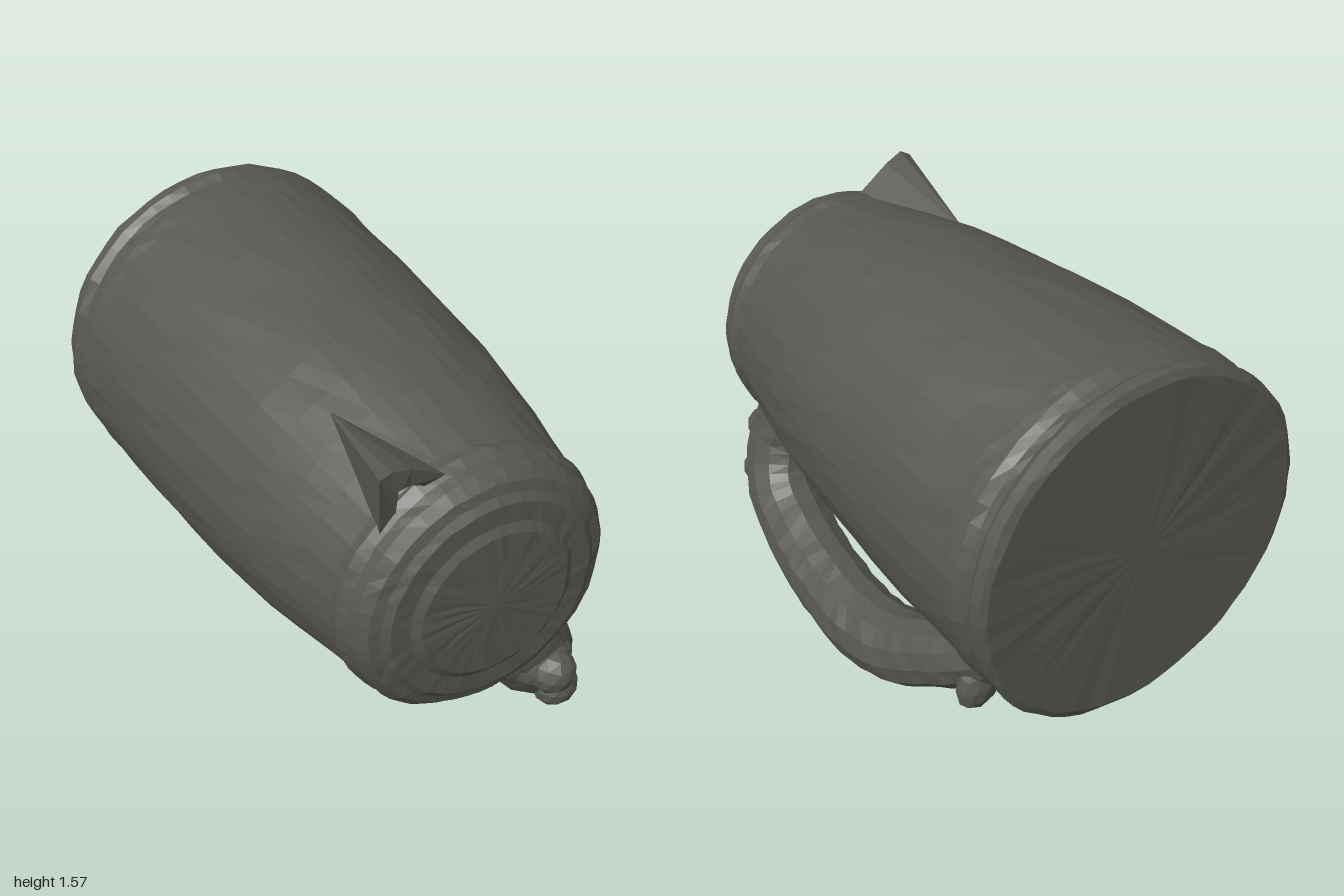
import * as THREE from 'three';

const CY = 0.937; // height of the tankard's long axis

// Repeatable roughness from a position, so coincident vertices stay together
function noise(x, y, z) {
  const q = (v) => Math.round(v * 500);
  const n = Math.sin(q(x) * 12.9898 + q(y) * 78.233 + q(z) * 37.719) * 43758.5453;
  return (n - Math.floor(n)) * 2 - 1;
}

function roughen(geo, amount, cx = 0, cy = CY) {
  const p = geo.attributes.position;
  for (let i = 0; i < p.count; i++) {
    const x = p.getX(i), y = p.getY(i), z = p.getZ(i);
    const k = 1 + noise(x, y, z) * amount;
    p.setXYZ(i, cx + (x - cx) * k, cy + (y - cy) * k, z + noise(z, x, y) * amount * 0.3);
  }
  geo.computeVertexNormals();
  return geo;
}

// Point in the handle's plane: s is the distance out from the axis
const handlePoint = (s, z) => new THREE.Vector3(0.08 + 0.417 * s, 0.94 - 0.91 * s, z);

export function createModel() {
  const group = new THREE.Group();
  const pewter = new THREE.MeshStandardMaterial({ color: 0x585853, flatShading: true });
  pewter.name = 'dark pewter';
  const stain = new THREE.MeshStandardMaterial({ color: 0x4a3a1e, flatShading: true, side: THREE.DoubleSide });
  stain.name = 'brown stain';

  const add = (name, geo, mat = pewter) => {
    const mesh = new THREE.Mesh(geo, mat);
    mesh.name = name;
    group.add(mesh);
    return mesh;
  };

  // Body lying on its side, base at -z and closed top at +z
  const profile = [
    [0, -0.992], [0.3, -0.992], [0.61, -0.995], [0.635, -0.98], [0.637, -0.94], [0.617, -0.91],
    [0.617, -0.88], [0.638, -0.85], [0.64, -0.81], [0.634, -0.76], [0.63, -0.6], [0.623, -0.4],
    [0.61, -0.2], [0.595, 0], [0.578, 0.18], [0.556, 0.34], [0.53, 0.5], [0.502, 0.64],
    [0.478, 0.77], [0.484, 0.81], [0.466, 0.85], [0.462, 0.89], [0.43, 0.925], [0.395, 0.935],
    [0.37, 0.955], [0.3, 0.957], [0.27, 0.975], [0.15, 0.978], [0, 0.985],
  ].map(([r, z]) => new THREE.Vector2(r, z));
  const body = new THREE.LatheGeometry(profile, 56);
  body.rotateX(Math.PI / 2).translate(0, CY, 0);
  add('body', roughen(body, 0.007));

  // Handle: a looped tube, thicker where it meets the top
  const path = new THREE.CatmullRomCurve3([
    [0.36, 0.75], [0.56, 0.76], [0.7, 0.68], [0.78, 0.52], [0.845, 0.26],
    [0.868, 0], [0.83, -0.22], [0.72, -0.43], [0.62, -0.58], [0.52, -0.7],
  ].map(([s, z]) => handlePoint(s, z)));
  const rings = 36, sides = 12;
  const handle = new THREE.TubeGeometry(path, rings, 1, sides);
  const hp = handle.attributes.position;
  const v = new THREE.Vector3();
  for (let i = 0; i <= rings; i++) {
    const t = i / rings;
    const centre = path.getPointAt(t);
    const radius = 0.142 + 0.03 * Math.max(0, 1 - t * 6) - 0.035 * Math.max(0, (t - 0.65) / 0.35);
    for (let j = 0; j <= sides; j++) {
      const k = i * (sides + 1) + j;
      v.fromBufferAttribute(hp, k).sub(centre);
      const rough = 1 + 0.03 * noise(i, j % sides, 3);
      v.multiplyScalar(radius * rough).add(centre);
      hp.setXYZ(k, v.x, v.y, v.z);
    }
  }
  handle.computeVertexNormals();
  add('handle', handle);

  // Lumps on the handle, turned to line up with its plane
  const lump = (name, s, z, w, r, d) => {
    const mesh = add(name, new THREE.IcosahedronGeometry(1, 1));
    mesh.position.copy(handlePoint(s, z));
    mesh.rotation.z = Math.atan2(0.417, 0.91);
    mesh.scale.set(w, r, d);
  };
  lump('thumbKnob', 0.53, 0.925, 0.083, 0.078, 0.075);
  lump('knobNeck', 0.53, 0.85, 0.12, 0.11, 0.09);
  lump('lowerKnob', 0.69, 0.86, 0.085, 0.075, 0.075);
  lump('handleTail', 0.69, -0.63, 0.085, 0.125, 0.062);
  lump('tailJoint', 0.62, -0.59, 0.1, 0.1, 0.09);

  // Spout: a tapering ridge with a hollow triangular mouth
  const mouth = [[-0.34, 1.2, 0.83], [-0.362, 1.48, 0.86], [-0.325, 1.5, 0.865], [-0.25, 1.475, 0.85], [-0.1, 1.385, 0.83]];
  const hollow = [-0.25, 1.37, 0.76];
  const lip = mouth.map((m) => m.map((c, i) => c + (hollow[i] - c) * (i === 2 ? 0 : 0.58)));
  const rear = [-0.265, 1.4, 0.36];
  const under = [-0.2, 1.25, 0.8];
  const tris = [];
  for (let i = 0; i < mouth.length; i++) {
    const j = (i + 1) % mouth.length;
    tris.push(mouth[i], lip[i], mouth[j], mouth[j], lip[i], lip[j], lip[i], hollow, lip[j]);
    tris.push(mouth[i], mouth[j], i === mouth.length - 1 ? under : rear);
  }
  const spout = new THREE.BufferGeometry();
  spout.setAttribute('position', new THREE.Float32BufferAttribute(tris.flat(), 3));
  spout.computeVertexNormals();
  const spoutMetal = pewter.clone();
  spoutMetal.name = 'dark pewter spout';
  spoutMetal.side = THREE.DoubleSide;
  add('spout', spout, spoutMetal);

  // Thin stained patches on the underside, beside the handle's end
  const patch = (name, from, to, z0, z1) => {
    const geo = new THREE.CylinderGeometry(0.641, 0.637, z1 - z0, 8, 1, true,
      Math.PI / 2 + from, to - from);
    geo.rotateX(Math.PI / 2).translate(0, CY, (z0 + z1) / 2);
    // the cylinder's angle runs from +x toward +y after this turn
    add(name, geo, stain);
  };
  patch('undersideStain', -1.8, -1.22, -0.83, -0.62);
  patch('sideStain', -0.66, -0.58, -0.83, -0.79);

  return group;
}
